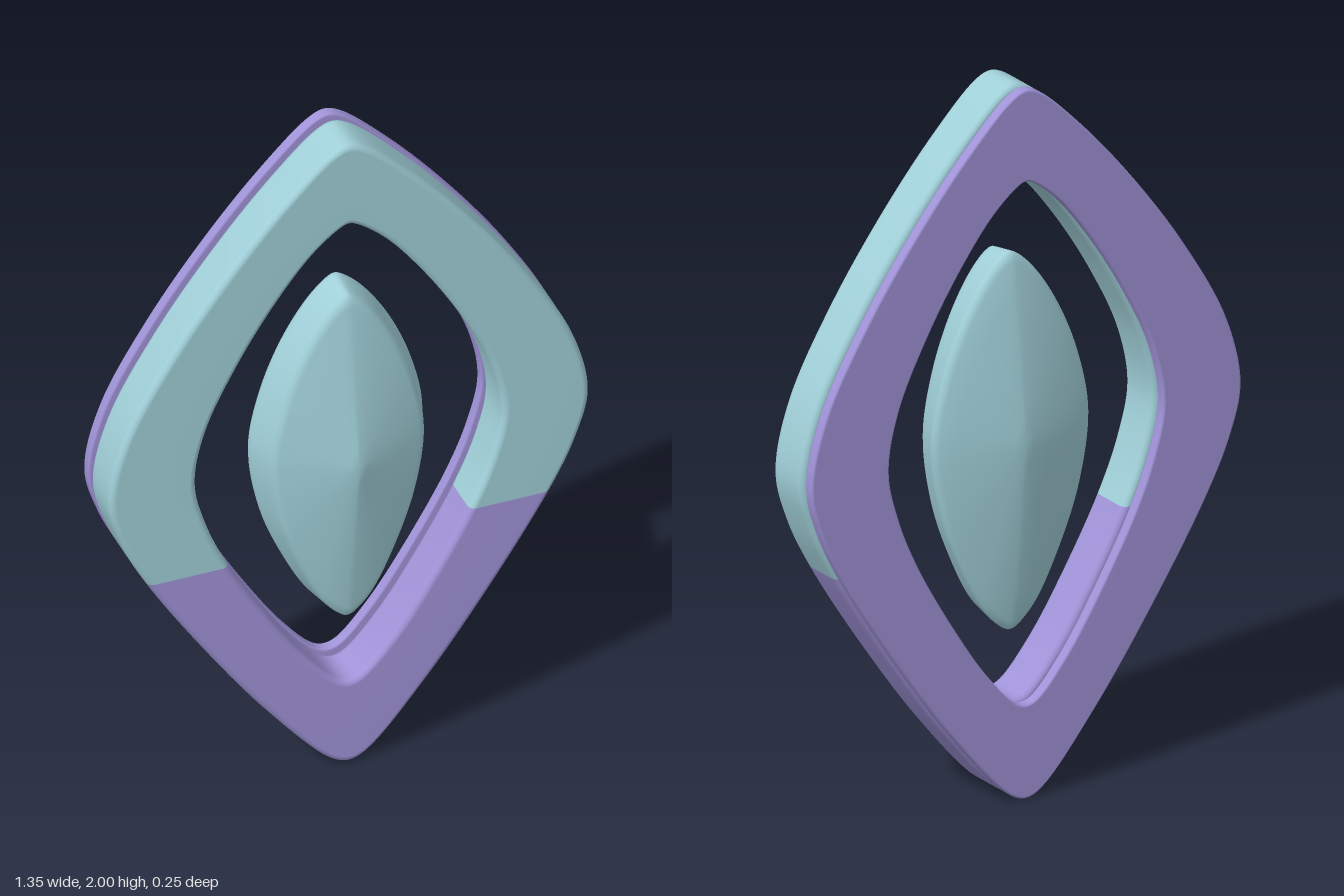
import * as THREE from 'three';
import { mergeVertices } from 'three/addons/utils/BufferGeometryUtils.js';

const STEPS = 8; // samples between outline points

// Smooth left-right symmetric outline, counter-clockwise from the first point of `up`.
function outline(up, tip, down, bottom) {
  const mirror = ([x, y]) => [-x, y];
  const pts = [
    ...up, [0, tip], ...[...up].reverse().map(mirror),
    ...down.map(mirror), [0, bottom], ...[...down].reverse(),
  ].map(([x, y]) => new THREE.Vector3(x, y, 0));
  const curve = new THREE.CatmullRomCurve3(pts, true, 'centripetal');
  const n = pts.length * STEPS;
  return Array.from({ length: n }, (_, i) => curve.getPoint(i / n));
}

// Surface through loops of points; loops run front to back or around a section.
function skin(loops, wrap) {
  const n = loops[0].length, rows = loops.length;
  const pos = [], index = [];
  loops.forEach((loop) => loop.forEach((p) => pos.push(p.x, p.y, p.z)));
  for (let j = 0; j < n; j++) {
    const k = (j + 1) % n;
    for (let s = 0; s < (wrap ? rows : rows - 1); s++) {
      const t = (s + 1) % rows;
      const a = s * n + j, b = s * n + k, c = t * n + k, d = t * n + j;
      index.push(a, d, c, a, c, b);
    }
  }
  let g = new THREE.BufferGeometry();
  g.setAttribute('position', new THREE.Float32BufferAttribute(pos, 3));
  g.setIndex(index);
  g = mergeVertices(g, 1e-5);
  g.computeVertexNormals();
  return g;
}

// Rounded rectangular section swept between the inner and outer outlines.
function ring(outer, inner, front, back, r) {
  const section = []; // [side: 0 inner / 1 outer, inset, z]
  const corner = (side, z, dir, from, to) => {
    for (let i = 0; i <= 4; i++) {
      const a = THREE.MathUtils.lerp(from, to, i / 4);
      section.push([side, r * (1 - Math.cos(a)), z + dir * r * (Math.sin(a) - 1)]);
    }
  };
  const q = Math.PI / 2;
  corner(0, front, 1, 0, q);
  corner(1, front, 1, q, 0);
  corner(1, back, -1, 0, q);
  corner(0, back, -1, q, 0);
  const loops = section.map(([side, inset, z]) => outer.map((o, j) => {
    const i = inner[j];
    const dir = o.clone().sub(i).normalize().multiplyScalar(side ? -inset : inset);
    const p = (side ? o : i).clone().add(dir);
    p.z = z;
    return p;
  }));
  return skin(loops, true);
}

export function createModel() {
  const group = new THREE.Group();
  const teal = new THREE.MeshStandardMaterial({ name: 'paleTeal', color: 0xa0cfd8 });
  const violet = new THREE.MeshStandardMaterial({ name: 'softViolet', color: 0xa093d8 });
  const add = (name, geometry, material) => {
    const mesh = new THREE.Mesh(geometry, material);
    mesh.name = name;
    group.add(mesh);
  };

  // Matching outlines; both start at the height where the colour changes
  const outerUp = [[0.567, 0.73], [0.64, 0.88], [0.675, 1.02], [0.632, 1.21],
    [0.5, 1.45], [0.33, 1.685], [0.17, 1.868], [0.045, 1.983]];
  const innerUp = [[0.338, 0.73], [0.4, 0.88], [0.43, 1.02], [0.4, 1.18],
    [0.31, 1.37], [0.2, 1.545], [0.1, 1.67], [0.022, 1.733]];
  const outer = outline(outerUp, 2, [[0.4, 0.465], [0.22, 0.215], [0.05, 0.025]], 0.005);
  const inner = outline(innerUp, 1.74, [[0.215, 0.515], [0.12, 0.375], [0.035, 0.282]], 0.27);

  // Front frame: teal above, violet below
  const frame = ring(outer, inner, 0.055, -0.08, 0.02);
  const split = Math.round(frame.index.count * (outerUp.length * 2 * STEPS) / outer.length);
  frame.addGroup(0, split, 0);
  frame.addGroup(split, frame.index.count - split, 1);
  add('frontFrame', frame, [teal, violet]);

  // Thin backing frame
  add('backFrame', ring(outer, inner, -0.097, -0.13, 0.008), violet);

  // Floating gem: pointed front and back, slanted rim
  const rim = outline([[0.245, 1.02], [0.213, 1.19], [0.15, 1.345], [0.075, 1.46], [0.02, 1.512]],
    1.52, [[0.215, 0.82], [0.15, 0.65], [0.075, 0.515], [0.02, 0.463]], 0.455);
  const levels = [ // [x scale, y scale, z]
    [0, 0, 0.125], [0.1, 0.11, 0.116], [0.45, 0.5, 0.085], [0.8, 0.91, 0.054],
    [0.85, 0.955, 0.047], [0.88, 0.972, 0.036], [0.9, 0.978, 0.02],
    [0.98, 0.996, -0.035], [1, 1, -0.048], [0.985, 0.99, -0.058], [0.93, 0.95, -0.066],
    [0.75, 0.78, -0.081], [0.4, 0.42, -0.106], [0.12, 0.13, -0.121], [0, 0, -0.126],
  ];
  add('gem', skin(levels.map(([sx, sy, z]) => rim.map((p) =>
    new THREE.Vector3(p.x * sx, 1 + (p.y - 1) * sy, z))), false), teal);

  return group;
}
